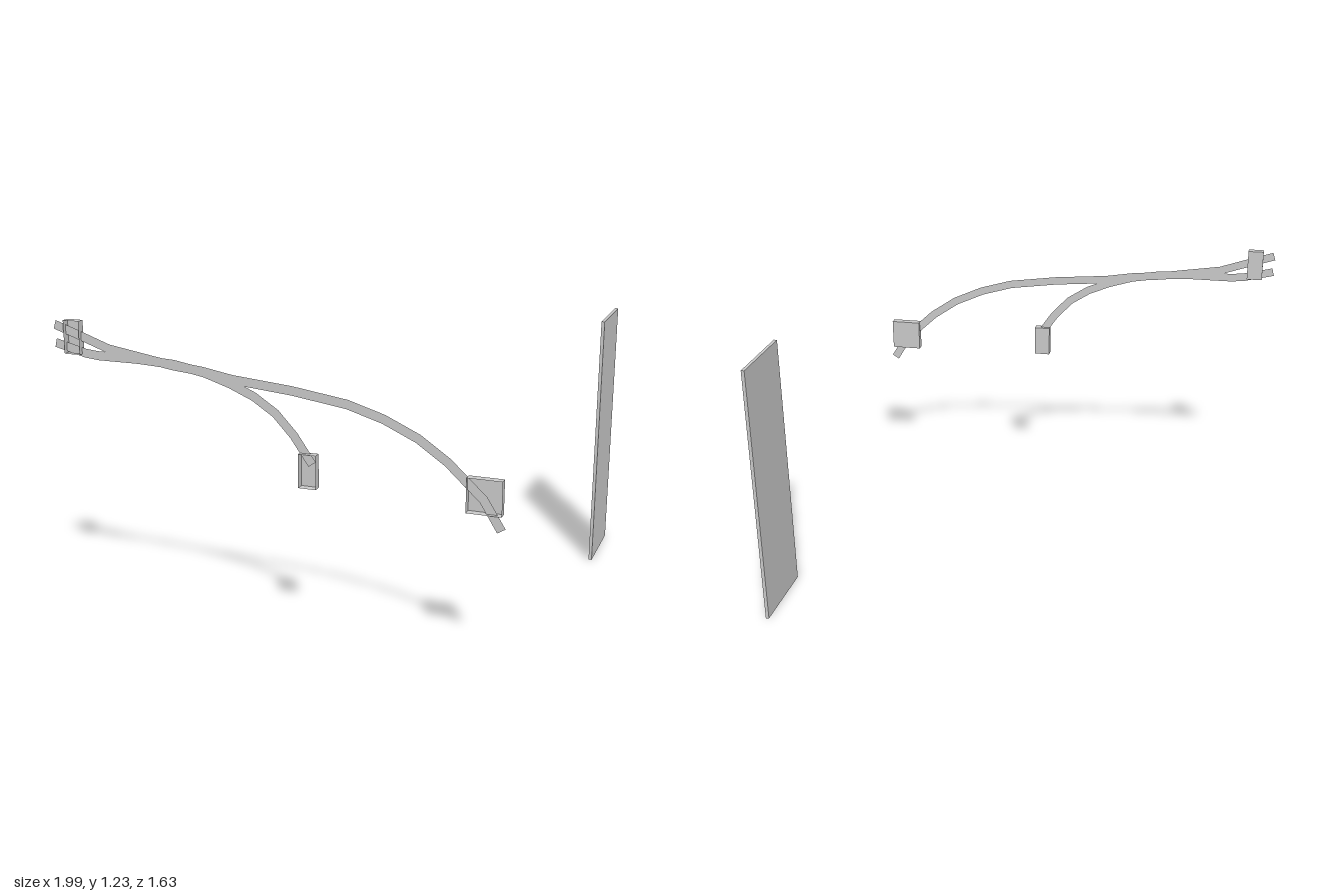
import * as THREE from 'three';

const material = new THREE.MeshStandardMaterial({ color: 0xcccccc, flatShading: true, side: THREE.DoubleSide });

function addMesh(group, name, geometry) {
  const mesh = new THREE.Mesh(geometry, material);
  mesh.name = name;
  group.add(mesh);
  return mesh;
}

// Flat ribbon of constant width that follows a path in the xy plane
function ribbonGeometry(path, width, z) {
  const points = path.map(([x, y]) => new THREE.Vector2(x, y));
  const positions = [];
  const index = [];
  points.forEach((p, i) => {
    const before = points[Math.max(i - 1, 0)];
    const after = points[Math.min(i + 1, points.length - 1)];
    const t = after.clone().sub(before).normalize().multiplyScalar(width / 2);
    positions.push(p.x - t.y, p.y + t.x, z, p.x + t.y, p.y - t.x, z);
    if (i > 0) {
      const a = 2 * i - 2;
      index.push(a, a + 1, a + 3, a, a + 3, a + 2);
    }
  });
  const geometry = new THREE.BufferGeometry();
  geometry.setAttribute('position', new THREE.Float32BufferAttribute(positions, 3));
  geometry.setIndex(index);
  geometry.computeVertexNormals();
  return geometry;
}

// Shallow box with its front (+z) left open
function openBoxGeometry(w, h, d) {
  const geometry = new THREE.BoxGeometry(w, h, d);
  const index = Array.from(geometry.index.array);
  index.splice(24, 6);
  geometry.setIndex(index);
  geometry.clearGroups();
  return geometry;
}

export function createModel() {
  const model = new THREE.Group();
  model.name = 'model';

  // Two ribbons that cross, run together and part again
  addMesh(model, 'shortRibbon', ribbonGeometry([
    [-0.985, 1.133], [-0.85, 1.1], [-0.79, 1.094], [-0.61, 1.094], [-0.45, 1.086],
    [-0.32, 1.064], [-0.21, 1.03], [-0.11, 0.988], [-0.02, 0.93], [0.055, 0.85], [0.13, 0.742],
  ], 0.037, 0.796));
  addMesh(model, 'longRibbon', ribbonGeometry([
    [-0.985, 1.208], [-0.86, 1.167], [-0.74, 1.126], [-0.6, 1.104], [-0.46, 1.082],
    [-0.33, 1.07], [-0.2, 1.048], [0.05, 1.026], [0.275, 0.994], [0.42, 0.951],
    [0.555, 0.89], [0.67, 0.812], [0.81, 0.683], [0.88, 0.57],
  ], 0.037, 0.798));

  // Open boxes at the ribbon ends: x, y, width, height
  [
    ['rightEndBox', -0.9, 1.163, 0.07, 0.136],
    ['middleEndBox', 0.115, 0.715, 0.072, 0.136],
    ['leftEndBox', 0.815, 0.698, 0.136, 0.136],
  ].forEach(([name, x, y, w, h]) => {
    addMesh(model, name, openBoxGeometry(w, h, 0.034)).position.set(x, y, 0.798);
  });

  // Tall thin panel standing behind, on the left
  addMesh(model, 'panel', new THREE.BoxGeometry(0.014, 1.122, 0.343)).position.set(0.99, 0.561, -0.643);

  return model;
}
